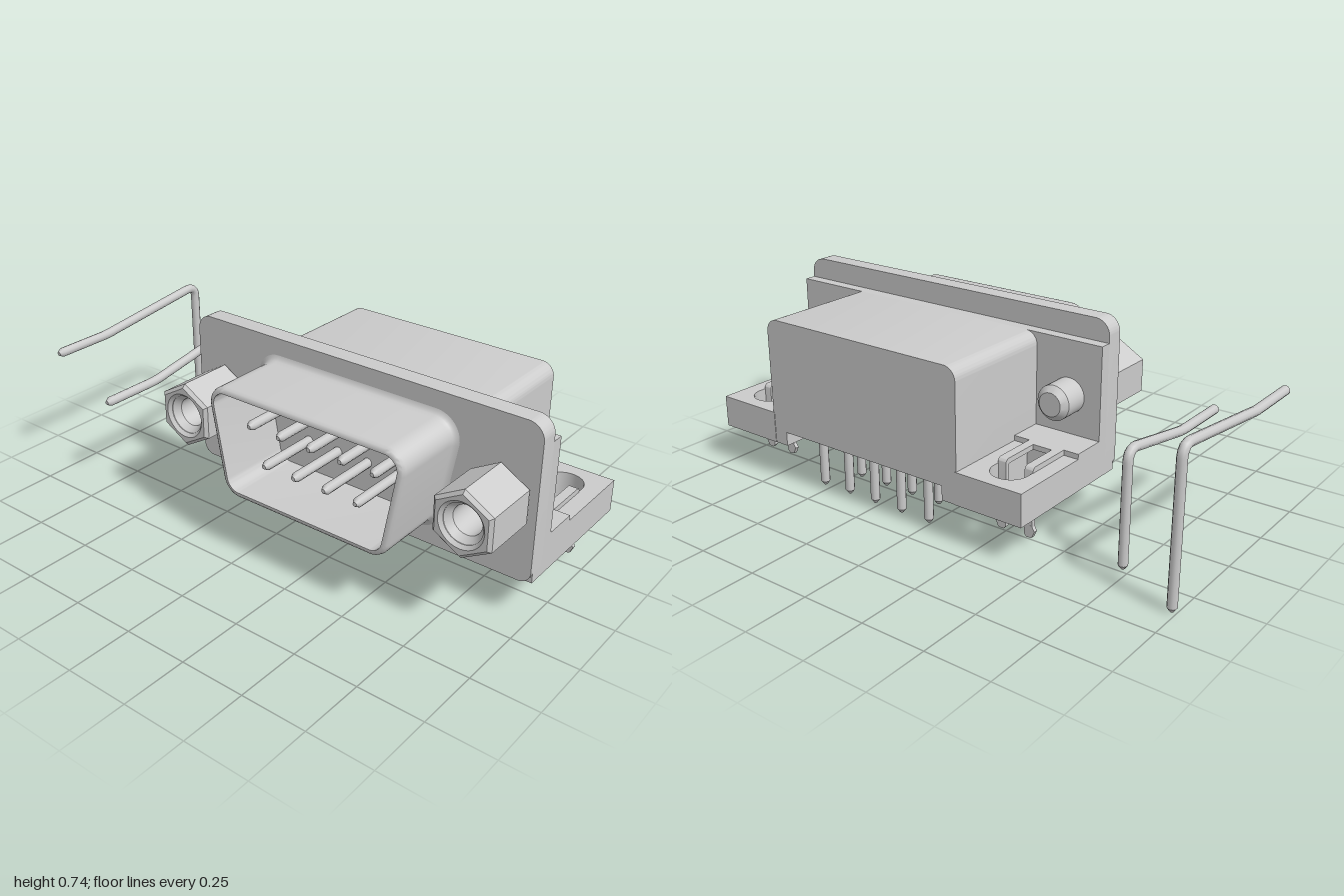
import * as THREE from 'three';
import { toCreasedNormals, mergeVertices } from 'three/addons/utils/BufferGeometryUtils.js';

const grey = new THREE.MeshStandardMaterial({ color: 0xcccccc });
const greyBoth = new THREE.MeshStandardMaterial({ color: 0xcccccc, side: THREE.DoubleSide });

function add(parent, name, geometry, material = grey) {
  const mesh = new THREE.Mesh(geometry, material);
  mesh.name = name;
  parent.add(mesh);
  return mesh;
}

// Box given by its two extreme corners
function box(x0, x1, y0, y1, z0, z1) {
  return new THREE.BoxGeometry(x1 - x0, y1 - y0, z1 - z0)
    .translate((x0 + x1) / 2, (y0 + y1) / 2, (z0 + z1) / 2);
}

function extrude(shape, z0, z1) {
  const g = new THREE.ExtrudeGeometry(shape, { depth: z1 - z0, bevelEnabled: false, curveSegments: 10 });
  return toCreasedNormals(g.translate(0, 0, z0), 0.5);
}

// Upright panel centred on x, with separate top and bottom corner radii
function panel(hw, y0, y1, rTop, rBottom) {
  const s = new THREE.Shape();
  s.moveTo(-hw, y0 + rBottom);
  if (rBottom) s.absarc(-hw + rBottom, y0 + rBottom, rBottom, Math.PI, Math.PI * 1.5);
  s.lineTo(hw - rBottom, y0);
  if (rBottom) s.absarc(hw - rBottom, y0 + rBottom, rBottom, -Math.PI / 2, 0);
  s.lineTo(hw, y1 - rTop);
  s.absarc(hw - rTop, y1 - rTop, rTop, 0, Math.PI / 2);
  s.lineTo(-hw + rTop, y1);
  s.absarc(-hw + rTop, y1 - rTop, rTop, Math.PI / 2, Math.PI);
  return s;
}

// Keystone outline with round corners, grown or shrunk by an offset
function keystone(offset) {
  const r = 0.072 + offset, tilt = 0.183, pts = [];
  const corners = [
    [0.335, 0.583, -tilt, Math.PI / 2], [-0.335, 0.583, Math.PI / 2, Math.PI + tilt],
    [-0.285, 0.312, Math.PI + tilt, Math.PI * 1.5], [0.285, 0.312, Math.PI * 1.5, Math.PI * 2 - tilt],
  ];
  for (const [cx, cy, a0, a1] of corners)
    for (let i = 0; i <= 10; i++) {
      const a = a0 + (a1 - a0) * i / 10;
      pts.push([cx + r * Math.cos(a), cy + r * Math.sin(a)]);
    }
  return pts;
}

// Hollow shell: the outline swept through [offset, z] steps
function shellGeometry() {
  const steps = [[0.022, 0.15], [0.011, 0.154], [0.004, 0.163], [0, 0.178], [0, 0.422],
    [-0.004, 0.434], [-0.012, 0.44], [-0.022, 0.44], [-0.022, 0.15]];
  const pos = [], idx = [];
  for (const [offset, z] of steps) for (const [x, y] of keystone(offset)) pos.push(x, y, z);
  const n = pos.length / 3 / steps.length;
  for (let k = 0; k < steps.length - 1; k++)
    for (let i = 0; i < n; i++) {
      const a = k * n + i, b = k * n + (i + 1) % n;
      idx.push(a, b, b + n, a, b + n, a + n);
    }
  const g = new THREE.BufferGeometry();
  g.setAttribute('position', new THREE.Float32BufferAttribute(pos, 3));
  g.setIndex(idx);
  return toCreasedNormals(mergeVertices(g), 0.7);
}

// Bent wire contact with tapered ends: mating tip, slope, then a leg straight down
function contact(parent, name, x, yTip, zLeg) {
  const r = 0.018, tip = 0.016, yTop = yTip + 0.058;
  const v = (y, z) => new THREE.Vector3(0, y, z);
  const path = new THREE.CurvePath();
  path.add(new THREE.LineCurve3(v(yTip, 0.4 - tip), v(yTip, 0.17)));
  path.add(new THREE.QuadraticBezierCurve3(v(yTip, 0.17), v(yTip, 0.14), v(yTip + 0.005, 0.11)));
  path.add(new THREE.LineCurve3(v(yTip + 0.005, 0.11), v(yTop - 0.003, zLeg + 0.045)));
  path.add(new THREE.QuadraticBezierCurve3(v(yTop - 0.003, zLeg + 0.045), v(yTop, zLeg), v(yTop - 0.045, zLeg)));
  path.add(new THREE.LineCurve3(v(yTop - 0.045, zLeg), v(tip, zLeg)));
  const g = new THREE.Group();
  g.name = name;
  g.position.x = x;
  add(g, 'wire', new THREE.TubeGeometry(path, 70, r, 10));
  add(g, 'matingTip', new THREE.CylinderGeometry(0.008, r, tip, 10).rotateX(Math.PI / 2).translate(0, yTip, 0.4 - tip / 2));
  add(g, 'solderTip', new THREE.CylinderGeometry(r, 0.006, tip, 10).translate(0, tip / 2, zLeg));
  parent.add(g);
}

// Everything around one fixing point; local x = 0 is the screw axis
function fixing(name) {
  const g = new THREE.Group(), yAxis = 0.448;
  g.name = name;

  // Hexagonal standoff with countersunk bore
  const hex = new THREE.Shape();
  for (let i = 0; i < 6; i++) {
    const a = Math.PI / 2 + i * Math.PI / 3;
    hex[i ? 'lineTo' : 'moveTo'](0.111 * Math.cos(a), 0.111 * Math.sin(a));
  }
  hex.closePath();
  hex.holes.push(new THREE.Path().absarc(0, 0, 0.085, 0, Math.PI * 2, true));
  const nut = new THREE.ExtrudeGeometry(hex, {
    depth: 0.211, bevelThickness: 0.012, bevelSize: 0.012, bevelSegments: 1, curveSegments: 16,
  });
  add(g, 'hexStandoff', toCreasedNormals(nut.translate(0, yAxis, 0.162), 0.4));
  const bore = [[0, 0.2], [0.054, 0.2], [0.054, 0.345], [0.075, 0.373]].map(p => new THREE.Vector2(...p));
  add(g, 'threadedBore', toCreasedNormals(new THREE.LatheGeometry(bore, 32).rotateX(Math.PI / 2), 0.4)
    .translate(0, yAxis, 0), greyBoth);

  // Screw end behind the flange
  const end = [[0, -0.085], [0.045, -0.085], [0.067, -0.062], [0.067, 0.05]].map(p => new THREE.Vector2(...p));
  add(g, 'screwEnd', toCreasedNormals(new THREE.LatheGeometry(end, 32).rotateX(Math.PI / 2), 0.4)
    .translate(0, yAxis, 0), greyBoth);

  // Mounting wing with a round-ended slot
  const wing = new THREE.Shape();
  wing.moveTo(-0.135, 0.1).lineTo(0.145, 0.1).lineTo(0.145, 0.44).lineTo(-0.135, 0.44).closePath();
  const slot = new THREE.Path();
  slot.moveTo(-0.072, 0.115).lineTo(-0.072, 0.315);
  slot.absarc(0, 0.315, 0.072, Math.PI, 0, true);
  slot.lineTo(0.072, 0.115).closePath();
  wing.holes.push(slot);
  add(g, 'wing', extrude(wing, 0.155, 0.28).rotateX(-Math.PI / 2));
  add(g, 'wingRoot', box(-0.135, 0.145, 0.155, 0.3, -0.1, 0.04));

  // Board lock: two bent strips with outward barbs
  const strip = new THREE.Shape();
  strip.moveTo(-0.1, 0.3).lineTo(-0.268, 0.3);
  strip.quadraticCurveTo(-0.288, 0.3, -0.288, 0.28);
  strip.lineTo(-0.288, 0.04).lineTo(-0.272, 0.04).lineTo(-0.272, 0.272);
  strip.quadraticCurveTo(-0.272, 0.28, -0.264, 0.28);
  strip.lineTo(-0.1, 0.28).closePath();
  for (const s of [-1, 1]) {
    add(g, 'boardLockProng', extrude(strip, -0.0175, 0.0175).rotateY(-Math.PI / 2).translate(s * 0.057, 0, 0));
    const barb = new THREE.Shape();
    const pts = [[0.04, 0.04], [0.05, 0.03], [0.072, 0.032], [0.084, 0.058], [0.072, 0.078], [0.04, 0.078]];
    barb.setFromPoints((s < 0 ? pts : pts.reverse()).map(([x, y]) => new THREE.Vector2(s * x, y)));
    add(g, 'boardLockBarb', extrude(barb, -0.2881, -0.2719));
  }
  add(g, 'boardLockBridge', box(-0.0745, 0.0745, 0.28, 0.3, -0.125, -0.1));
  return g;
}

export function createModel() {
  const model = new THREE.Group();
  model.name = 'connector';
  const c = new THREE.Group();
  c.name = 'connectorBody';
  c.position.x = 0.275;
  model.add(c);

  // Flange layers
  add(c, 'frontPlate', extrude(panel(0.725, 0.155, 0.742, 0.06, 0.045), 0.137, 0.15));
  add(c, 'flange', extrude(panel(0.725, 0.155, 0.742, 0.06, 0), 0.08, 0.137));
  add(c, 'backingPlate', box(-0.725, 0.725, 0.155, 0.658, 0.035, 0.08));

  // Housing, open underneath at the back where the legs come out
  const housing = new THREE.Shape();
  housing.moveTo(-0.45, 0.155).lineTo(-0.385, 0.155).lineTo(-0.385, 0.21).lineTo(0.385, 0.21);
  housing.lineTo(0.385, 0.155).lineTo(0.45, 0.155).lineTo(0.45, 0.608);
  housing.absarc(0.4, 0.608, 0.05, 0, Math.PI / 2);
  housing.lineTo(-0.4, 0.658);
  housing.absarc(-0.4, 0.608, 0.05, Math.PI / 2, Math.PI);
  add(c, 'housing', extrude(housing, -0.438, 0.036));
  add(c, 'housingFrontFoot', box(-0.39, 0.39, 0.155, 0.215, -0.03, 0.036));

  // Metal shell around the contacts
  add(c, 'shell', shellGeometry(), greyBoth);

  // Fixings on both sides, the second mirrored
  const right = fixing('rightFixing'), left = fixing('leftFixing');
  right.position.x = -0.59;
  left.position.x = 0.59;
  left.scale.x = -1;
  c.add(right, left);

  // Two rows of contacts
  for (let i = 0; i < 5; i++) contact(c, 'upperContact', -0.262 + i * 0.131, 0.515, -0.365);
  for (let i = 0; i < 4; i++) contact(c, 'lowerContact', -0.1965 + i * 0.131, 0.38, -0.23);

  // Loose spare contacts beside the connector
  contact(model, 'looseUpperContact', -0.982, 0.515, -0.365);
  contact(model, 'looseLowerContact', -0.722, 0.38, -0.23);
  return model;
}
